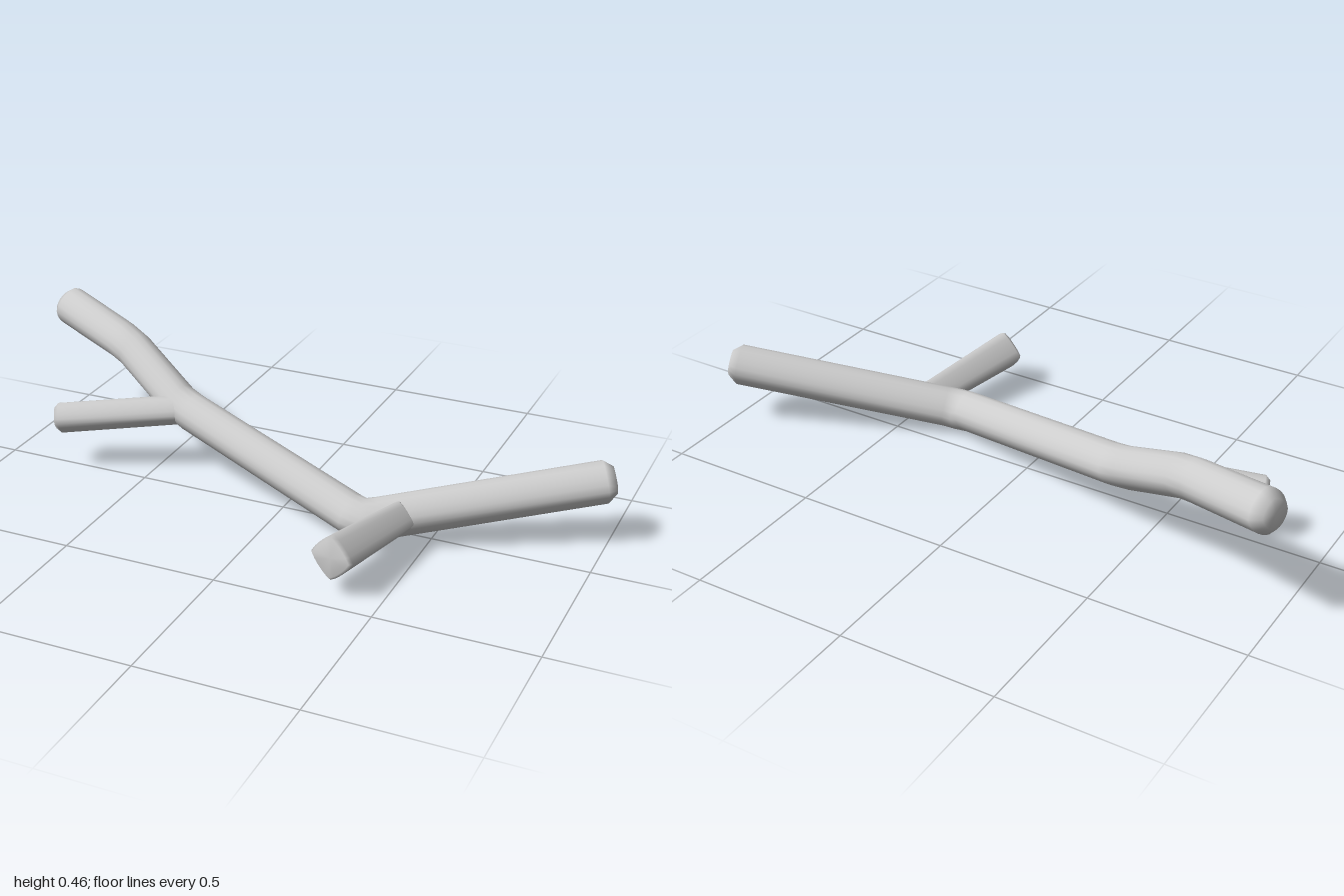
import * as THREE from 'three';

const SIDES = 20;

// Sweeps a soft diamond section along stations [x, y, z, radius]; p sets its softness (1 diamond, 2 round).
// Both ends get a bevel of the given length, then a flat cap.
function limb(name, stations, p, bevel, capScale, material) {
  const pts = stations.map(([x, y, z]) => new THREE.Vector3(x, y, z));
  const dirs = pts.slice(1).map((q, i) => q.clone().sub(pts[i]).normalize());
  const last = pts.length - 1;
  const rings = [];
  pts.forEach((c, i) => {
    const before = dirs[Math.max(i - 1, 0)], after = dirs[Math.min(i, last - 1)];
    const t = before.clone().add(after).normalize();
    const r = stations[i][3];
    if (i === 0) rings.push({ c, t, r: r * capScale });
    const inset = i === 0 ? bevel : i === last ? -bevel : 0;
    rings.push({ c: c.clone().addScaledVector(t, inset), t, r });
    if (i === last) rings.push({ c, t, r: r * capScale });
  });

  const position = [], index = [];
  for (const { c, t, r } of rings) {
    const u = new THREE.Vector3().crossVectors(t, new THREE.Vector3(0, 1, 0)).normalize();
    const v = new THREE.Vector3().crossVectors(u, t);
    for (let j = 0; j < SIDES; j++) {
      const a = (j / SIDES) * Math.PI * 2, cos = Math.cos(a), sin = Math.sin(a);
      const k = r / Math.pow(Math.abs(cos) ** p + Math.abs(sin) ** p, 1 / p);
      const q = c.clone().addScaledVector(u, cos * k).addScaledVector(v, sin * k);
      position.push(q.x, q.y, q.z);
    }
  }
  const start = rings.length * SIDES, end = start + 1, lastRing = start - SIDES;
  position.push(...pts[0].toArray(), ...pts[last].toArray());
  for (let j = 0; j < SIDES; j++) {
    const n = (j + 1) % SIDES;
    for (let i = 0; i < rings.length - 1; i++) {
      const a = i * SIDES + j, b = i * SIDES + n;
      index.push(a, a + SIDES, b, b, a + SIDES, b + SIDES);
    }
    index.push(start, j, n, end, lastRing + n, lastRing + j);
  }
  const geometry = new THREE.BufferGeometry();
  geometry.setAttribute('position', new THREE.Float32BufferAttribute(position, 3));
  geometry.setIndex(index);
  geometry.computeVertexNormals();
  const mesh = new THREE.Mesh(geometry, material);
  mesh.name = name;
  return mesh;
}

export function createModel() {
  const group = new THREE.Group();
  group.name = 'branch';
  const wood = new THREE.MeshStandardMaterial({ color: 0xcccccc });

  // Long bent main stem
  group.add(limb('mainStem', [
    [-1.0, 0.40, -0.39, 0.071],
    [-0.72, 0.35, -0.278, 0.069],
    [-0.66, 0.333, -0.252, 0.068],
    [-0.44, 0.228, -0.146, 0.068],
    [-0.38, 0.21, -0.124, 0.069],
    [0.27, 0.083, 0.09, 0.07],
    [0.315, 0.075, 0.097, 0.072],
    [0.36, 0.083, 0.08, 0.07],
    [1.0, 0.207, -0.222, 0.071],
  ], 1.6, 0.03, 0.65, wood));

  // Slim twig on the right
  group.add(limb('rightTwig', [
    [-0.42, 0.216, -0.118, 0.052],
    [-0.81, 0.171, 0.027, 0.053],
  ], 1.5, 0.015, 0.72, wood));

  // Stubby angular twig pointing forward
  group.add(limb('frontTwig', [
    [0.423, 0.1, 0.085, 0.06],
    [0.347, 0.128, 0.443, 0.073],
  ], 1.2, 0.012, 0.88, wood));

  return group;
}
